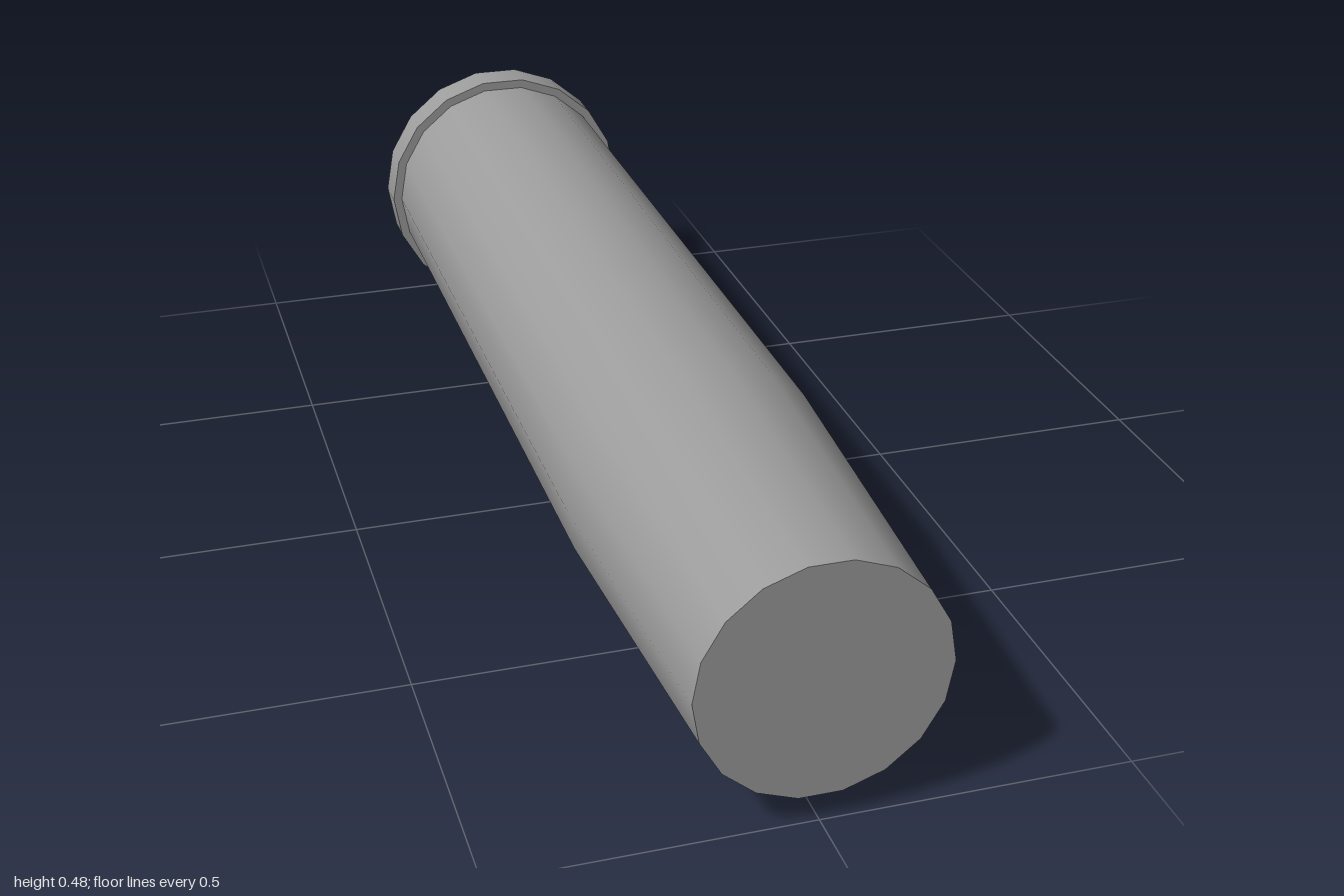
import * as THREE from 'three';

const SIDES = 18;
const CENTER_Y = 0.24;

export function createModel() {
  const group = new THREE.Group();
  const material = new THREE.MeshStandardMaterial({ color: 0x9c9c9c });

  const add = (name, geometry, z = 0) => {
    const mesh = new THREE.Mesh(geometry, material);
    mesh.name = name;
    mesh.position.set(0, CENTER_Y, z);
    group.add(mesh);
  };

  // Straight tube that tapers towards the front, smooth around its axis
  const profile = [[0.226, -0.93], [0.226, 0.43], [0.197, 1]]
    .map(([r, z]) => new THREE.Vector2(r, z));
  add('body', new THREE.LatheGeometry(profile, SIDES, Math.PI / 2).rotateX(Math.PI / 2));

  // Flat disc closing the narrow front end
  add('frontCap', new THREE.CircleGeometry(0.197, SIDES), 1);

  // Wider collar closing the back end
  const rim = new THREE.CylinderGeometry(0.243, 0.243, 0.07, SIDES, 1, false, Math.PI / 2);
  add('rearRim', rim.rotateX(Math.PI / 2), -0.965);

  return group;
}
